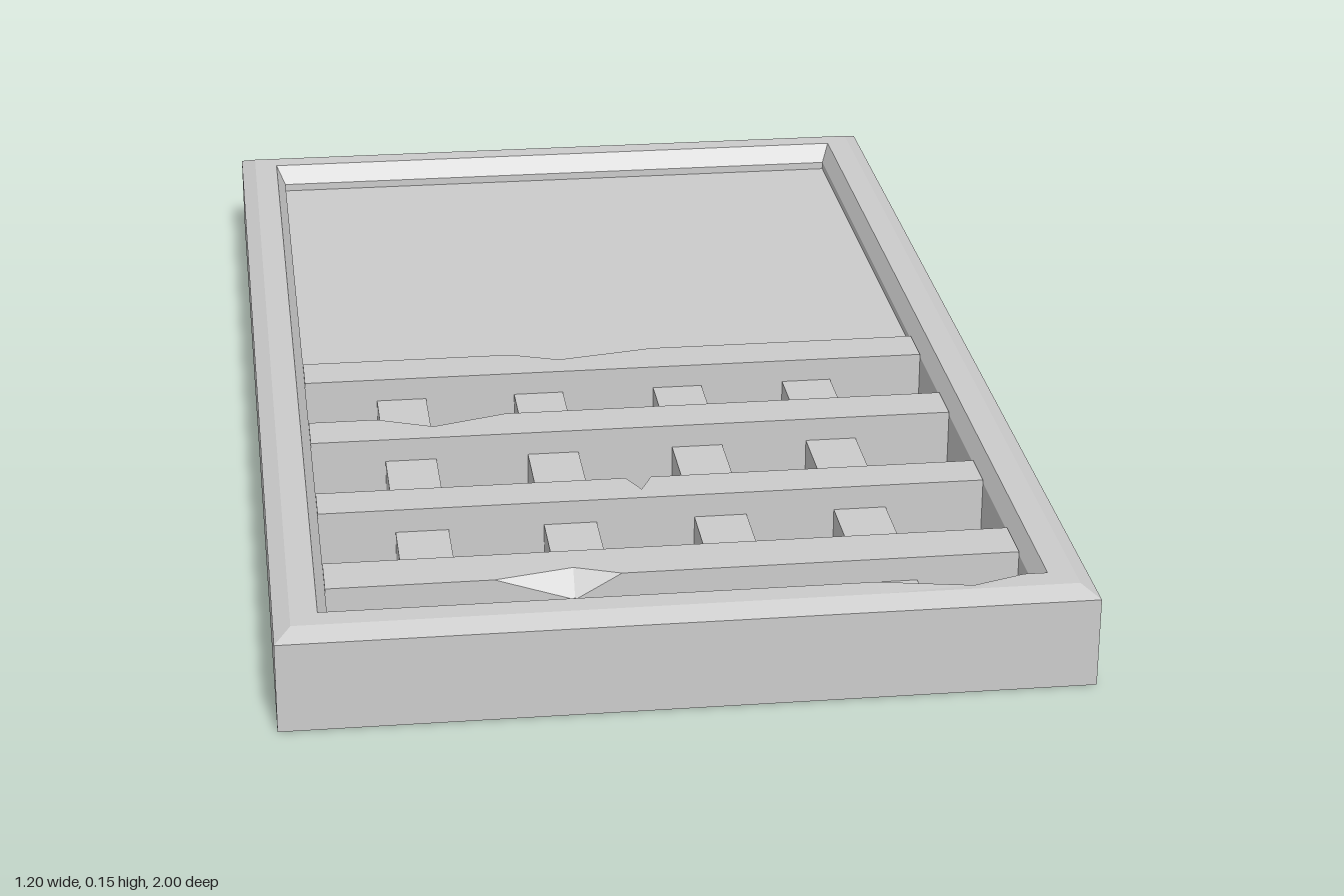
import * as THREE from 'three';

// Closed, faceted solid through a row of equal-length cross-sections
function loft(sections) {
  const tris = [];
  const n = sections[0].length;
  for (let s = 0; s < sections.length - 1; s++) {
    const a = sections[s], b = sections[s + 1];
    for (let i = 0; i < n; i++) {
      const j = (i + 1) % n;
      tris.push([a[i], a[j], b[j]], [a[i], b[j], b[i]]);
    }
  }
  const first = sections[0], last = sections[sections.length - 1];
  for (let i = 1; i < n - 1; i++) {
    tris.push([first[0], first[i + 1], first[i]], [last[0], last[i], last[i + 1]]);
  }
  // Signed volume tells whether the faces point outwards
  let volume = 0;
  for (const [p, q, r] of tris) volume += p.dot(q.clone().cross(r));
  const positions = [];
  for (const [p, q, r] of tris) {
    for (const v of volume < 0 ? [p, r, q] : [p, q, r]) positions.push(v.x, v.y, v.z);
  }
  const geometry = new THREE.BufferGeometry();
  geometry.setAttribute('position', new THREE.Float32BufferAttribute(positions, 3));
  geometry.computeVertexNormals();
  return geometry;
}

// Square bar with one triangular chip on a top edge.
// place(t, across, y) maps to space; chip = { side, from, peak, to, cut, drop }
function chippedBar(place, t0, t1, w0, w1, y0, y1, chip) {
  const high = chip.side > 0;
  const edge = high ? w1 : w0, other = high ? w0 : w1;
  const section = (t, cut, drop) => [
    place(t, other, y0), place(t, other, y1),
    place(t, edge - chip.side * cut, y1), place(t, edge, y1 - drop), place(t, edge, y0),
  ];
  return loft([
    section(t0, 0, 0), section(chip.from, 0, 0), section(chip.peak, chip.cut, chip.drop),
    section(chip.to, 0, 0), section(t1, 0, 0),
  ]);
}

export function createModel() {
  const group = new THREE.Group();
  const stone = new THREE.MeshStandardMaterial({ color: 0xcccccc });
  stone.name = 'grey stone';

  const add = (name, geometry) => {
    const mesh = new THREE.Mesh(geometry, stone);
    mesh.name = name;
    group.add(mesh);
    return mesh;
  };
  const V = (x, y, z) => new THREE.Vector3(x, y, z);

  // Frame profile: half width, height, half length; the first point is doubled for chips
  const rings = [
    [0.6, 0, 1], [0.6, 0, 1], [0.6, 0.14, 1], [0.575, 0.153, 0.968],
    [0.535, 0.153, 0.93], [0.52, 0.125, 0.9], [0.52, 0.125, 0.9], [0.52, 0, 0.9],
  ];

  // Long sides, mitred at the ends; the left one has a chipped bottom edge
  for (const side of [-1, 1]) {
    const end = (e) => rings.map(([x, y, z]) => V(side * x, y, e * z));
    const mid = (z) => rings.map(([x, y]) => V(side * x, y, z));
    const sections = [end(-1)];
    if (side > 0) {
      const peak = mid(0.2);
      peak[0].x -= 0.07;
      peak[1].y = 0.018;
      sections.push(mid(0.02), peak, mid(0.43));
    }
    sections.push(end(1));
    add(side > 0 ? 'frameLeft' : 'frameRight', loft(sections));
  }

  // Short sides; the front one has a chipped inner edge
  for (const side of [-1, 1]) {
    const end = (e) => rings.map(([x, y, z]) => V(e * x, y, side * z));
    const mid = (x) => rings.map(([, y, z]) => V(x, y, side * z));
    const sections = [end(-1)];
    if (side > 0) {
      const peak = mid(0.42);
      peak[4].set(0.42, 0.152, 0.955);
      peak[5].set(0.42, 0.125, 0.925);
      peak[6].set(0.42, 0.095, 0.9);
      sections.push(mid(0.28), peak, mid(0.5));
    }
    sections.push(end(1));
    add(side > 0 ? 'frameFront' : 'frameBack', loft(sections));
  }

  // Solid panel, recessed on both faces
  const panel = add('panel', new THREE.BoxGeometry(1.04, 0.087, 0.89));
  panel.position.set(0, 0.0685, -0.455);

  // Cross rail and three grille slats, each with a broken edge
  const alongX = (t, w, y) => V(t, y, w);
  const slats = [
    ['crossRail', -0.02, 0.06, { side: -1, from: -0.17, peak: -0.09, to: 0.07, cut: 0.03, drop: 0.02 }],
    ['grilleSlat', 0.22, 0.3, { side: -1, from: -0.41, peak: -0.32, to: -0.2, cut: 0.037, drop: 0.035 }],
    ['grilleSlat', 0.487, 0.56, { side: -1, from: -0.035, peak: -0.015, to: 0.005, cut: 0.043, drop: 0.06 }],
    ['grilleSlat', 0.73, 0.813, { side: 1, from: -0.27, peak: -0.15, to: -0.08, cut: 0.027, drop: 0.04 }],
  ];
  for (const [name, z0, z1, chip] of slats) {
    add(name, chippedBar(alongX, -0.52, 0.52, z0, z1, 0, 0.13, chip));
  }

  // Lower bars running lengthwise through the grille
  const alongZ = (t, w, y) => V(w, y, t);
  for (const x of [-0.36, -0.13, 0.105, 0.325]) {
    if (x === -0.13) {
      const chip = { side: 1, from: 0.185, peak: 0.225, to: 0.265, cut: 0.05, drop: 0.05 };
      add('grilleBar', chippedBar(alongZ, 0.05, 0.9, x - 0.041, x + 0.041, 0.038, 0.092, chip));
    } else {
      const bar = add('grilleBar', new THREE.BoxGeometry(0.082, 0.054, 0.85));
      bar.position.set(x, 0.065, 0.475);
    }
  }
  return group;
}
